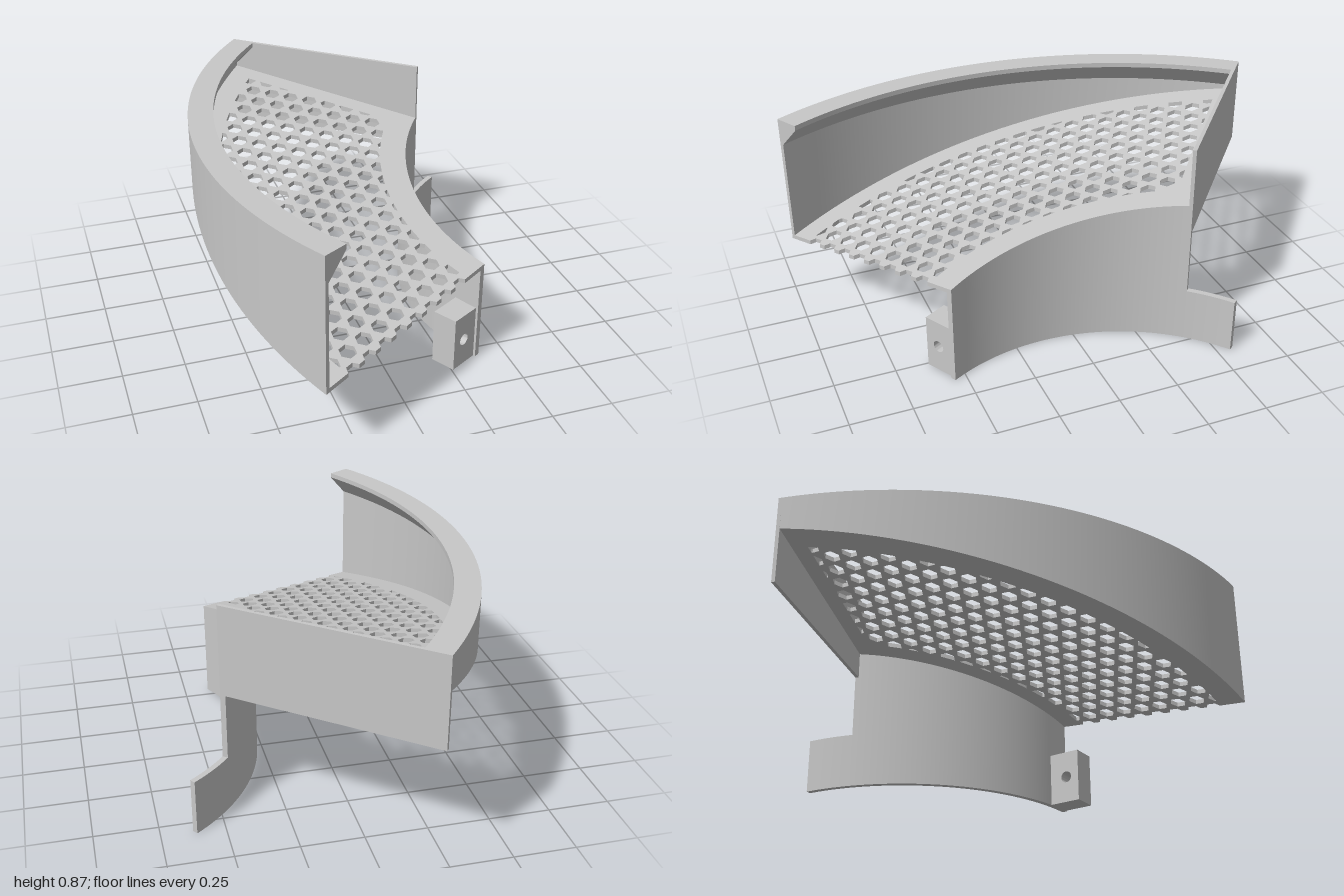
import * as THREE from 'three';
import { toCreasedNormals } from 'three/addons/utils/BufferGeometryUtils.js';

// Everything is an arc sector around one vertical axis.
const CX = 1.127, CZ = 0.125;
const R_IN = 0.845, R_IN2 = 0.868, R_OUT = 1.75, R_OUT2 = 1.734;
const DEG = Math.PI / 180;
const FRONT = 30 * DEG, BACK = -40 * DEG, TAIL = -53.6 * DEG;
const TOP = 0.87, THICK = 0.018;

const px = (r, a) => CX - r * Math.cos(a);
const pz = (r, a) => CZ + r * Math.sin(a);
const floorTop = (z) => 0.542 - 0.209 * z; // sloping floor plane

// Sweeps a counter-clockwise (radius, height) section around the axis.
function sweep(section, a0, a1, steps) {
  const pos = [];
  const ring = (a) => section(a).map(([r, y]) => [px(r, a), y, pz(r, a)]);
  const tri = (...pts) => pts.forEach((p) => pos.push(...p));
  for (let i = 0; i < steps; i++) {
    const A = ring(a0 + ((a1 - a0) * i) / steps);
    const B = ring(a0 + ((a1 - a0) * (i + 1)) / steps);
    A.forEach((p, k) => {
      const n = (k + 1) % A.length;
      tri(p, B[k], B[n]);
      tri(p, B[n], A[n]);
    });
  }
  const flat = section(a0).map(([r, y]) => new THREE.Vector2(r, y));
  const S = ring(a0), E = ring(a1);
  for (const [a, b, c] of THREE.ShapeUtils.triangulateShape(flat, [])) {
    tri(S[a], S[b], S[c]);
    tri(E[a], E[c], E[b]);
  }
  const g = new THREE.BufferGeometry();
  g.setAttribute('position', new THREE.Float32BufferAttribute(pos, 3));
  return toCreasedNormals(g, 0.4);
}

// Extrudes a (radius, height) shape off the radial plane at angle a.
function radialPlate(shape, a, depth, offset) {
  const g = new THREE.ExtrudeGeometry(shape, { depth, bevelEnabled: false, curveSegments: 20 });
  g.translate(0, 0, offset);
  const m = new THREE.Matrix4().makeBasis(
    new THREE.Vector3(-Math.cos(a), 0, Math.sin(a)),
    new THREE.Vector3(0, 1, 0),
    new THREE.Vector3(-Math.sin(a), 0, -Math.cos(a)));
  m.setPosition(CX, 0, CZ);
  return g.applyMatrix4(m);
}

function rect(x0, y0, x1, y1) {
  return new THREE.Shape([[x0, y0], [x1, y0], [x1, y1], [x0, y1]].map((p) => new THREE.Vector2(...p)));
}

// Keeps the part of a polygon where dist(point) >= 0.
function clip(poly, dist) {
  const out = [];
  poly.forEach((p, i) => {
    const q = poly[(i + 1) % poly.length];
    const d = dist(p), e = dist(q);
    if (d >= 0) out.push(p);
    if ((d >= 0) !== (e >= 0)) out.push(p.clone().lerp(q, d / (d - e)));
  });
  return out;
}

// Floor with hexagonal perforations, cut open along the front edge.
function perforatedFloor() {
  const along = (a) => (p) => -(p.x - CX) * Math.cos(a) + (p.y - CZ) * Math.sin(a);
  const across = (a) => (p) => (p.x - CX) * Math.sin(a) + (p.y - CZ) * Math.cos(a);
  const frontDist = (p) => -across(FRONT)(p);
  const frontPos = along(FRONT);
  const holes = [], notches = [];
  const DX = 0.0755, DZ = 0.0872, R = 0.034;
  for (let i = -8; i <= 6; i++) {
    for (let j = -14; j <= 14; j++) {
      const x = -0.035 + i * DX;
      const z = 0.02 + (j + (i % 2 ? 0.5 : 0)) * DZ;
      const radial = along(Math.atan2(z - CZ, CX - x));
      let hex = [];
      for (let k = 0; k < 6; k++) {
        const t = -(k + 0.5) * Math.PI / 3;
        hex.push(new THREE.Vector2(x + R * Math.cos(t), z + R * Math.sin(t)));
      }
      hex = clip(hex, (p) => radial(p) - 0.955);
      hex = clip(hex, (p) => 1.64 - radial(p));
      hex = clip(hex, (p) => across(BACK)(p) - 0.085);
      const cut = hex.some((p) => frontDist(p) < 0);
      hex = clip(hex, frontDist);
      if (hex.length < 3 || Math.abs(THREE.ShapeUtils.area(hex)) < 2e-4) continue;
      if (!cut) { holes.push(hex); continue; }
      // turn the cut hexagon into an open notch running outwards
      const n = hex.length;
      const on = (p) => Math.abs(frontDist(p)) < 1e-6;
      const s = hex.findIndex((p, k) => on(p) && on(hex[(k + 1) % n]));
      if (s < 0) continue;
      const chain = hex.map((_, k) => hex[(s + 1 + k) % n]);
      if (frontPos(chain[0]) > frontPos(chain[n - 1])) chain.reverse();
      notches.push(chain);
    }
  }
  notches.sort((a, b) => frontPos(a[0]) - frontPos(b[0]));

  const outline = [];
  const N = 48;
  const arc = (r, a0, a1) => {
    for (let k = 0; k <= N; k++) {
      const a = a0 + ((a1 - a0) * k) / N;
      outline.push(new THREE.Vector2(px(r, a), pz(r, a)));
    }
  };
  arc(R_IN2, BACK, FRONT);
  notches.forEach((c) => outline.push(...c));
  arc(R_OUT2, FRONT, BACK);

  // outline runs clockwise and holes counter-clockwise once z is flipped
  const flip = (pts) => pts.map((p) => new THREE.Vector2(p.x, -p.y));
  const shape = new THREE.Shape(flip(outline));
  shape.holes = holes.map((h) => new THREE.Path(flip(h)));
  const g = new THREE.ExtrudeGeometry(shape, { depth: THICK, bevelEnabled: false });
  g.rotateX(-Math.PI / 2);
  const pos = g.attributes.position;
  for (let i = 0; i < pos.count; i++) {
    pos.setY(i, pos.getY(i) - THICK + floorTop(pos.getZ(i)));
  }
  g.computeVertexNormals();
  return g;
}

export function createModel() {
  const group = new THREE.Group();
  const grey = new THREE.MeshStandardMaterial({ color: 0xc8c8c8 });
  grey.name = 'plain grey';
  const add = (name, geometry) => {
    const mesh = new THREE.Mesh(geometry, grey);
    mesh.name = name;
    group.add(mesh);
  };

  add('perforatedFloor', perforatedFloor());

  // outer wall with an overhanging lip, its foot following the slope
  const foot = (r, a) => floorTop(pz(r, a)) - THICK;
  add('outerWall', sweep((a) => [
    [R_OUT, foot(R_OUT, a)], [R_OUT, TOP], [1.647, TOP],
    [1.647, 0.85], [R_OUT2, 0.76], [R_OUT2, foot(R_OUT2, a)],
  ], BACK, FRONT, 48));

  // inner wall rises to the floor
  add('innerWall', sweep((a) => [
    [R_IN, 0], [R_IN2, 0], [R_IN2, floorTop(pz(R_IN2, a))], [R_IN, floorTop(pz(R_IN, a))],
  ], BACK, FRONT, 48));

  // low strip continuing the inner wall past the back
  add('joiningStrip', sweep(() => [
    [R_IN, 0], [R_IN2, 0], [R_IN2, 0.23], [R_IN, 0.23],
  ], TAIL, BACK, 10));

  // upright panel closing the back end
  add('backPanel', radialPlate(rect(R_IN, 0.5, R_OUT, TOP), BACK, 0.015, -0.015));

  // mounting block with a screw hole, set just behind the front end
  const block = rect(0.86, 0, 0.999, 0.23);
  block.holes.push(new THREE.Path().absarc(0.938, 0.115, 0.025, 0, Math.PI * 2, true));
  add('mountingBlock', toCreasedNormals(radialPlate(block, FRONT, 0.106, 0.01), 0.5));

  return group;
}
